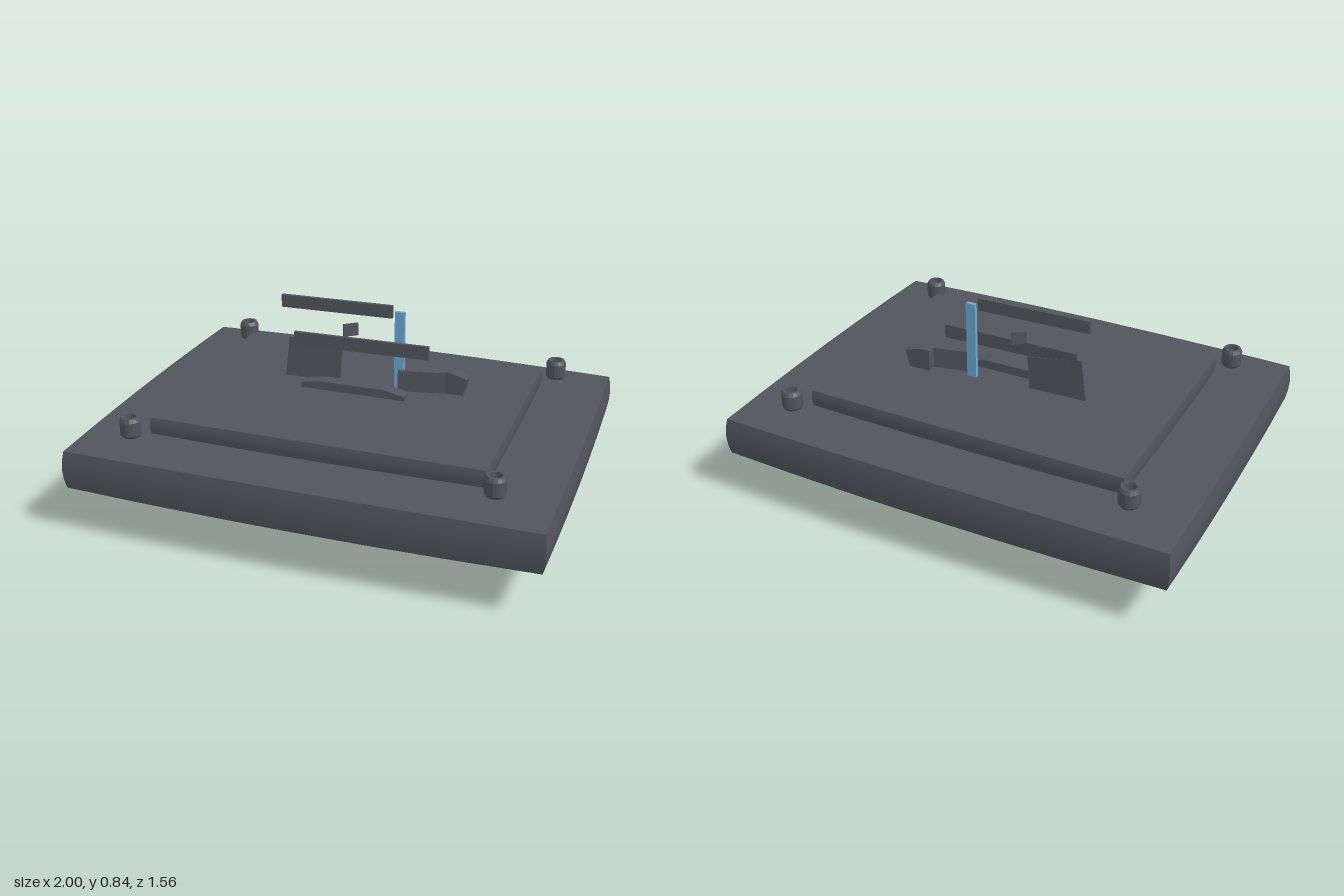
import * as THREE from 'three';

const grey = new THREE.MeshStandardMaterial({ color: 0x51555c });
grey.name = 'slate grey';
const blue = new THREE.MeshStandardMaterial({ color: 0x6cabd6 });
blue.name = 'sky blue';

function add(parent, name, geometry, material, x = 0, y = 0, z = 0) {
  const mesh = new THREE.Mesh(geometry, material);
  mesh.name = name;
  mesh.position.set(x, y, z);
  parent.add(mesh);
  return mesh;
}

// Box given by its lowest and highest corners
function block(parent, name, lo, hi, material = grey) {
  const size = hi.map((h, i) => h - lo[i]);
  const mid = hi.map((h, i) => (h + lo[i]) / 2);
  return add(parent, name, new THREE.BoxGeometry(...size), material, ...mid);
}

// Front outline extruded between two depths
function plate(parent, name, points, z0, z1) {
  const shape = new THREE.Shape(points.map(([x, y]) => new THREE.Vector2(x, y)));
  const geometry = new THREE.ExtrudeGeometry(shape, { depth: z1 - z0, bevelEnabled: false });
  return add(parent, name, geometry, grey, 0, 0, z0);
}

// Slab whose faces swell gently towards their middles
function swollenSlab(hx, hy, hz, bulge) {
  const geometry = new THREE.BoxGeometry(2, 2, 2, 6, 4, 6);
  const p = geometry.attributes.position;
  for (let i = 0; i < p.count; i++) {
    const u = p.getX(i), v = p.getY(i), w = p.getZ(i);
    const a = 1 - u * u, b = 1 - v * v, c = 1 - w * w;
    p.setXYZ(i,
      u * (hx + bulge * (0.5 * c + 0.6 * b)),
      v * (hy + bulge * 0.4 * (a + c)),
      w * (hz + bulge * (a + 0.6 * b)));
  }
  geometry.computeVertexNormals();
  return geometry;
}

// Slender bar running between two points seen from above
function bar(parent, name, [x0, z0], [x1, z1], y0, y1, thick) {
  const length = Math.hypot(x1 - x0, z1 - z0);
  const mesh = add(parent, name, new THREE.BoxGeometry(length, y1 - y0, thick), grey,
    (x0 + x1) / 2, (y0 + y1) / 2, (z0 + z1) / 2);
  mesh.rotation.y = -Math.atan2(z1 - z0, x1 - x0);
  return mesh;
}

export function createModel() {
  const model = new THREE.Group();
  model.name = 'model';

  // Main slabs
  add(model, 'baseSlab', swollenSlab(0.983, 0.083, 0.755, 0.016), grey, 0, 0.294, 0);
  add(model, 'raisedPlate', swollenSlab(0.707, 0.036, 0.52, 0.007), grey, 0, 0.431, 0);

  // Four hollow corner studs
  const profile = [[0, 0.41], [0.036, 0.41], [0.044, 0.422], [0.044, 0.48],
    [0.036, 0.495], [0.025, 0.495], [0.023, 0.46], [0, 0.46]];
  const stud = new THREE.LatheGeometry(profile.map(([r, y]) => new THREE.Vector2(r, y)), 16)
    .toNonIndexed();
  stud.computeVertexNormals();
  for (const sx of [-1, 1]) for (const sz of [-1, 1])
    add(model, 'cornerStud', stud, grey, sx * 0.76, 0, sz * 0.592);

  // Core block passing through both slabs
  plate(model, 'coreBlock', [[-0.235, 0.05], [-0.22, 0.035], [0.215, 0.035], [0.23, 0.05],
    [0.23, 0.492], [0.135, 0.511], [-0.14, 0.511], [-0.235, 0.495]], -0.03, 0.03);

  // Upper bars and tilted tab
  bar(model, 'upperBar', [-0.363, -0.084], [0.135, -0.1], 0.79, 0.845, 0.017);
  bar(model, 'middleBar', [-0.307, -0.08], [0.3, -0.095], 0.622, 0.682, 0.015);
  bar(model, 'tiltedTab', [-0.083, -0.09], [-0.032, -0.131], 0.682, 0.737, 0.012);

  // Left fin
  const fin = plate(model, 'leftFin', [[-0.355, 0.45], [-0.1, 0.45], [-0.09, 0.62], [-0.33, 0.655]],
    -0.1, -0.09);
  fin.rotation.y = 0.04;

  // Right arm with its end block
  bar(model, 'rightArm', [0.17, -0.073], [0.37, -0.117], 0.45, 0.566, 0.018);
  plate(model, 'armEnd', [[0.35, 0.46], [0.445, 0.46], [0.467, 0.547], [0.39, 0.57], [0.35, 0.568]],
    -0.16, -0.11);

  // Blue post and lower tab
  block(model, 'bluePost', [0.143, 0.45, -0.12], [0.186, 0.817, -0.103], blue);
  block(model, 'blueTab', [0.165, 0.1, -0.405], [0.27, 0.25, -0.375], blue);

  // Parts beneath the base
  plate(model, 'lowerPanel', [[-0.2, 0.026], [0.175, 0.005], [0.183, 0.25], [-0.195, 0.25]],
    -0.18, -0.15);
  plate(model, 'lowerWedge', [[-0.03, 0.22], [0, 0.197], [0.125, 0.17], [0.15, 0.19], [0.16, 0.22]],
    0.03, 0.04);
  block(model, 'lowerPin', [0.135, 0.187, 0.21], [0.165, 0.22, 0.24]);

  return model;
}
